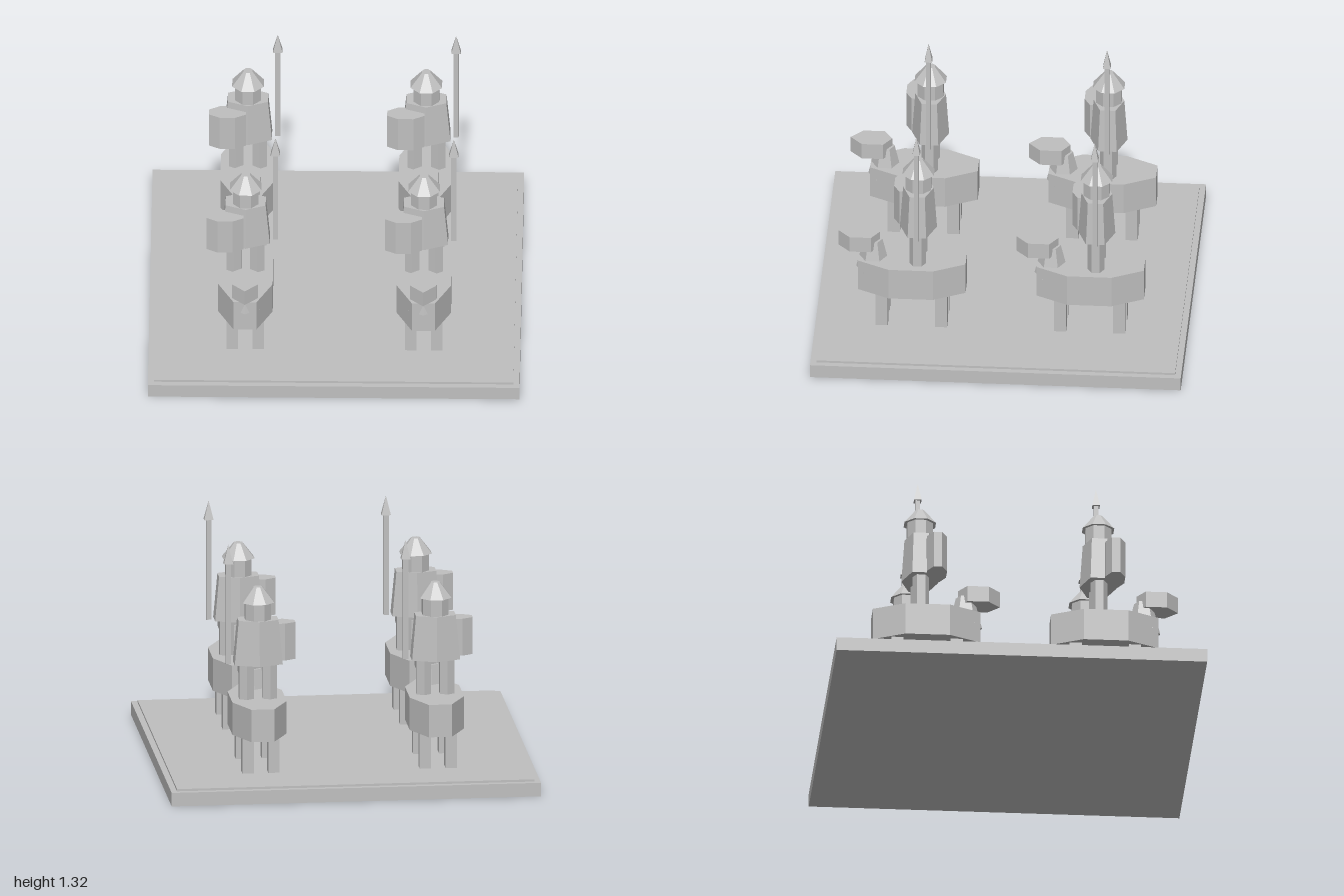
import * as THREE from 'three';

const stone = new THREE.MeshStandardMaterial({ color: 0xbfbfbf, flatShading: true });
stone.name = 'plain grey';

function add(parent, name, geometry) {
  const mesh = new THREE.Mesh(geometry, stone);
  mesh.name = name;
  parent.add(mesh);
  return mesh;
}

// Upright tapered prism; sx and sz stretch its cross-section
function prism(parent, name, sides, rTop, rBottom, y0, y1, { x = 0, z = 0, sx = 1, sz = 1, turn = 0 } = {}) {
  const g = new THREE.CylinderGeometry(rTop, rBottom, y1 - y0, sides);
  g.rotateY(turn).scale(sx, 1, sz).translate(x, (y0 + y1) / 2, z);
  return add(parent, name, g);
}

// Upright slab whose plan is given as [x, z] corners of the +x half, mirrored to -x
function slab(parent, name, half, y0, y1) {
  const corners = [...half, ...half.slice().reverse().filter(([x]) => x > 0).map(([x, z]) => [-x, z])];
  const shape = new THREE.Shape(corners.map(([x, z]) => new THREE.Vector2(x, -z)));
  const g = new THREE.ExtrudeGeometry(shape, { depth: y1 - y0, bevelEnabled: false });
  g.rotateX(-Math.PI / 2).translate(0, y0, 0);
  return add(parent, name, g);
}

function box(parent, name, w, y0, y1, d, x = 0, z = 0) {
  return add(parent, name, new THREE.BoxGeometry(w, y1 - y0, d).translate(x, (y0 + y1) / 2, z));
}

function createHorse() {
  const horse = new THREE.Group();
  horse.name = 'horse';
  for (const x of [-0.07, 0.07])
    for (const z of [-0.16, 0.16]) box(horse, 'horseLeg', 0.062, 0.08, 0.29, 0.066, x, z);
  slab(horse, 'horseBody', [[0.062, 0.29], [0.147, 0.12], [0.147, -0.12], [0.062, -0.29]], 0.285, 0.465);
  prism(horse, 'horseNeck', 6, 0.05, 0.092, 0.395, 0.57, { z: 0.212 });
  slab(horse, 'horseHead', [[0, 0.4], [0.07, 0.335], [0.07, 0.22], [0, 0.175]], 0.525, 0.615);
  return horse;
}

function createRider() {
  const rider = new THREE.Group();
  rider.name = 'rider';
  const flat = Math.PI / 8;
  for (const x of [-0.063, 0.063]) prism(rider, 'riderLeg', 6, 0.045, 0.045, 0.46, 0.67, { x });
  prism(rider, 'tunic', 6, 0.083, 0.1, 0.66, 0.905, { sx: 1.5 });
  prism(rider, 'head', 8, 0.075, 0.075, 0.9, 1.0, { turn: flat });
  prism(rider, 'helmet', 8, 0.025, 0.092, 1.0, 1.083, { turn: flat });
  // Shield on the right arm, spear on the left
  prism(rider, 'shield', 8, 0.108, 0.108, 0.66, 0.865, { x: -0.11, z: 0.082, sz: 0.54, turn: flat });
  const square = Math.PI / 4;
  prism(rider, 'spearShaft', 4, 0.02, 0.02, 0.66, 1.22, { x: 0.16, sz: 0.87, turn: square });
  prism(rider, 'spearTip', 4, 0, 0.036, 1.215, 1.32, { x: 0.16, sz: 0.8, turn: square });
  rider.position.z = -0.032;
  return rider;
}

export function createModel() {
  const model = new THREE.Group();
  model.name = 'cavalryBase';

  // Square stand with a slightly raised, inset top
  box(model, 'stand', 2, 0, 0.075, 2);
  box(model, 'standTop', 1.935, 0.07, 0.087, 1.935);

  // Two ranks of two horsemen
  for (const x of [-0.48, 0.48])
    for (const z of [-0.48, 0.482]) {
      const horseman = new THREE.Group();
      horseman.name = 'horseman';
      horseman.add(createHorse(), createRider());
      horseman.position.set(x, 0, z);
      model.add(horseman);
    }
  return model;
}
